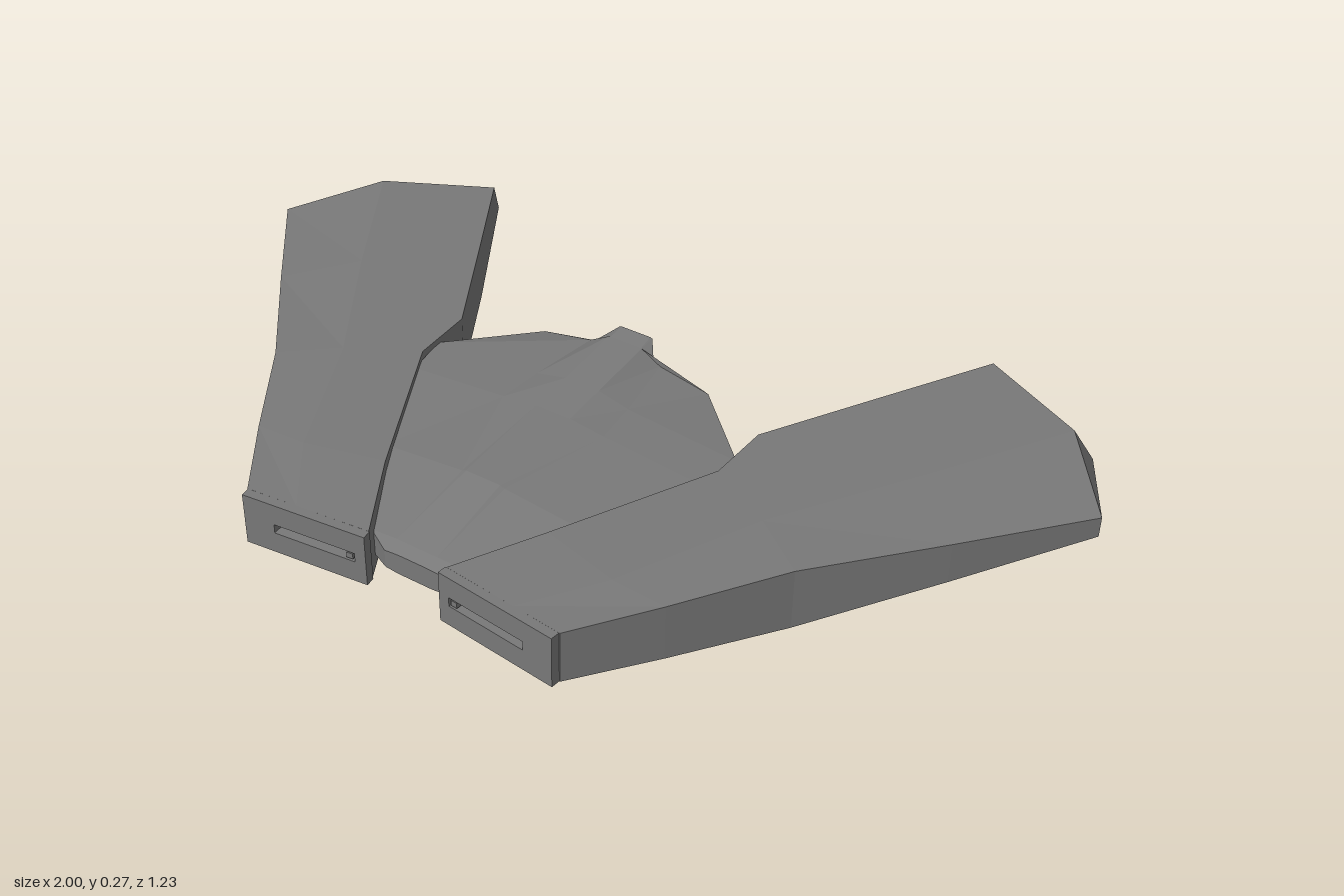
import * as THREE from 'three';

const material = new THREE.MeshStandardMaterial({ color: 0x787878, flatShading: true });

function addMesh(parent, geometry, name) {
  const mesh = new THREE.Mesh(geometry, material);
  mesh.name = name;
  parent.add(mesh);
  return mesh;
}

// Faceted closed solid through rings of [x, y, z] points, always facing outwards
function loft(rings) {
  const tris = [];
  const n = rings[0].length;
  for (let r = 0; r < rings.length - 1; r++) {
    for (let i = 0; i < n; i++) {
      const j = (i + 1) % n;
      const [a, b, c, d] = [rings[r][i], rings[r][j], rings[r + 1][j], rings[r + 1][i]];
      tris.push([a, b, c], [a, c, d]);
    }
  }
  const first = rings[0], last = rings[rings.length - 1];
  for (let i = 1; i < n - 1; i++) {
    tris.push([first[0], first[i + 1], first[i]], [last[0], last[i], last[i + 1]]);
  }
  const V = (p) => new THREE.Vector3(...p);
  let volume = 0;
  for (const [a, b, c] of tris) volume += V(a).dot(V(b).cross(V(c)));
  if (volume < 0) tris.forEach((t) => t.reverse());
  const geometry = new THREE.BufferGeometry();
  geometry.setAttribute('position', new THREE.Float32BufferAttribute(tris.flat(2), 3));
  geometry.computeVertexNormals();
  return geometry;
}

// Symmetric ring at depth z from right-half points [x, y], top to bottom
function ring(z, half) {
  const right = half.map(([x, y]) => [x, y, z]);
  const left = half.map(([x, y]) => [-x, y, z]).reverse();
  return [...right, ...left];
}

// Rectangle plate with a rectangular opening shifted sideways by holeX
function framePlate(w, h, holeW, holeH, depth, holeX = 0) {
  const corners = (cx, a, b) => [[-1, -1], [1, -1], [1, 1], [-1, 1]]
    .map(([x, y]) => new THREE.Vector2(cx + x * a / 2, y * b / 2));
  const shape = new THREE.Shape(corners(0, w, h));
  shape.holes.push(new THREE.Path(corners(holeX, holeW, holeH).reverse()));
  return new THREE.ExtrudeGeometry(shape, { depth, bevelEnabled: false });
}

// Each ring: inner top, crown, outer top, outer low, chine, keel, inner low
const wingRings = [
  [[.09, .212, .562], [.25, .212, .58], [.36, .212, .592], [.36, .098, .592], [.31, .098, .586], [.2, .098, .575], [.09, .098, .562]],
  [[.19, .222, .388], [.36, .22, .43], [.475, .213, .43], [.475, .09, .43], [.4, .05, .435], [.24, .025, .44], [.19, .08, .388]],
  [[.355, .228, .06], [.5, .226, .14], [.615, .215, .22], [.615, .08, .22], [.59, .073, .2], [.45, .02, .12], [.355, .1, .06]],
  [[.36, .23, -.08], [.68, .23, -.14], [.81, .205, -.02], [.81, .115, -.02], [.72, .07, -.08], [.54, .015, -.13], [.36, .1, -.08]],
  [[.5, .23, -.33], [.86, .23, -.44], [1, .195, -.26], [1, .15, -.26], [.82, .065, -.36], [.65, .012, -.4], [.5, .1, -.33]],
  [[.63, .23, -.56], [.86, .23, -.44], [.89, .142, -.49], [.89, .14, -.49], [.885, .14, -.493], [.665, .14, -.612], [.66, .14, -.615]],
];

function makeWing(side) {
  const wing = new THREE.Group();
  wing.name = side > 0 ? 'leftWing' : 'rightWing';
  const rings = wingRings.map((r) => r.map(([x, y, z]) => [side * x, y, z]));
  addMesh(wing, loft(rings), 'wingShell');

  // Slotted front face
  const front = new THREE.Group();
  front.name = 'wingFront';
  front.position.set(side * .223, .155, .577);
  front.rotation.y = -side * Math.atan2(.03, .27);
  addMesh(front, framePlate(.272, .114, .18, .02, .02, -side * .022), 'slotPlate');
  const stud = addMesh(front, new THREE.BoxGeometry(.014, .012, .018), 'slotStud');
  stud.position.set(-side * .1, 0, .01);
  wing.add(front);

  // Joint between wing and hull
  const joint = addMesh(wing, new THREE.BoxGeometry(.07, .06, .1), 'wingJoint');
  joint.position.set(side * .36, .155, .01);
  return wing;
}

export function createModel() {
  const model = new THREE.Group();
  model.name = 'spacecraft';
  for (const side of [1, -1]) model.add(makeWing(side));

  // Broad upper deck: spine ridge, spine base, edge, lower edge, underside
  addMesh(model, loft([
    ring(.545, [[.03, .168], [.05, .167], [.07, .165], [.07, .125], [.04, .122]]),
    ring(.52, [[.035, .18], [.06, .18], [.12, .175], [.12, .12], [.06, .115]]),
    ring(.33, [[.04, .228], [.05, .224], [.24, .205], [.24, .14], [.15, .13]]),
    ring(.1, [[.04, .244], [.12, .234], [.345, .214], [.345, .16], [.28, .14]]),
    ring(0, [[.04, .252], [.11, .236], [.36, .215], [.36, .165], [.28, .15]]),
    ring(-.155, [[.04, .266], [.085, .24], [.2, .218], [.2, .18], [.17, .175]]),
  ]), 'upperDeck');

  // Overhanging tail of the spine
  addMesh(model, loft([
    ring(-.14, [[.038, .263], [.08, .24], [.07, .228]]),
    ring(-.195, [[.035, .27], [.04, .268], [.04, .262]]),
  ]), 'spineTail');

  // Narrower core below the deck
  addMesh(model, loft([
    ring(.45, [[.1, .15], [.11, .13], [.06, .1]]),
    ring(.3, [[.15, .16], [.19, .13], [.14, .08]]),
    ring(.02, [[.27, .18], [.3, .14], [.26, .08]]),
    ring(-.115, [[.16, .185], [.18, .14], [.16, .08]]),
  ]), 'lowerHull');

  // Faceted belly
  addMesh(model, loft([
    ring(.48, [[.1, .125], [.11, .11], [.06, .095]]),
    ring(.17, [[.24, .12], [.23, .06], [.14, .022]]),
    ring(0, [[.27, .12], [.25, .045], [.17, .01]]),
    ring(-.105, [[.2, .12], [.18, .05], [.13, 0]]),
    ring(-.125, [[.14, .115], [.14, .07], [.1, .05]]),
  ]), 'belly');

  // Rear opening under the deck edge
  const port = addMesh(model, framePlate(.3, .07, .25, .038, .035), 'rearPort');
  port.position.set(0, .145, -.145);
  return model;
}
